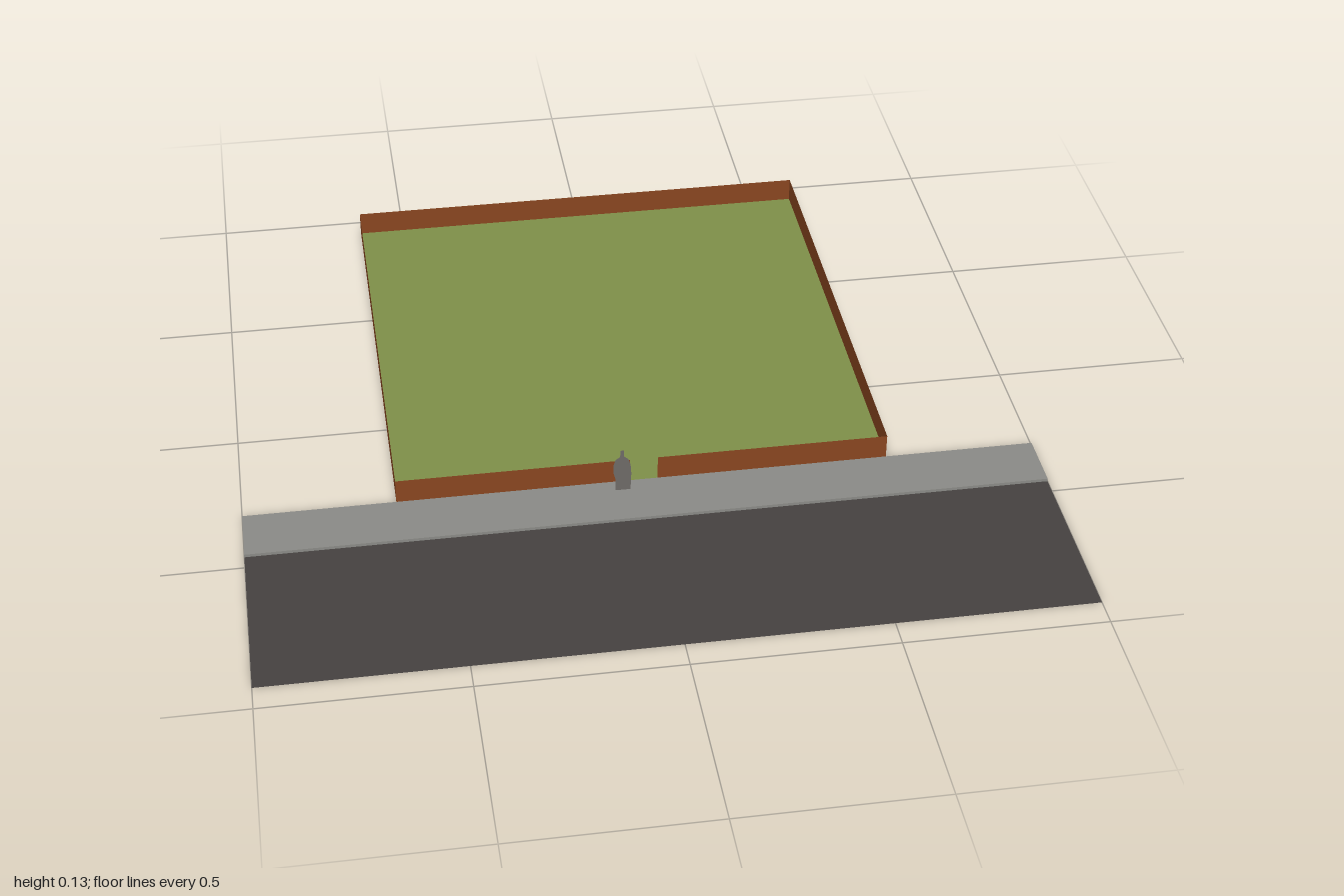
import * as THREE from 'three';

const material = (name, color) =>
  new THREE.MeshStandardMaterial({ name, color, side: THREE.DoubleSide });

export function createModel() {
  const grass = material('grass green', 0x80914a);
  const brick = material('brick brown', 0x8b4720);
  const pavement = material('pavement grey', 0x8c8c88);
  const asphalt = material('asphalt', 0x464241);
  const stone = material('stone grey', 0x6f6b68);

  const group = new THREE.Group();
  const GROUND = 0.008, HALF = 0.62, BACK = -0.93, FRONT = 0.31, CURB = 0.46;

  const add = (name, geometry, mat) => {
    const mesh = new THREE.Mesh(geometry, mat);
    mesh.name = name;
    group.add(mesh);
    return mesh;
  };

  // Flat ground sheet spanning z0..z1
  const sheet = (name, halfWidth, z0, z1, y, mat) => {
    const geometry = new THREE.PlaneGeometry(halfWidth * 2, z1 - z0);
    geometry.rotateX(-Math.PI / 2);
    add(name, geometry, mat).position.set(0, y, (z0 + z1) / 2);
  };
  sheet('lawn', HALF, BACK, FRONT, GROUND, grass);
  sheet('sidewalk', 1, FRONT, CURB, GROUND, pavement);
  sheet('road', 1, CURB, 0.93, 0, asphalt);

  // Upright sheet from (x0, z0) to (x1, z1)
  const upright = (name, x0, z0, x1, z1, bottom, top, mat) => {
    const geometry = new THREE.PlaneGeometry(Math.hypot(x1 - x0, z1 - z0), top - bottom);
    const mesh = add(name, geometry, mat);
    mesh.position.set((x0 + x1) / 2, (bottom + top) / 2, (z0 + z1) / 2);
    mesh.rotation.y = Math.atan2(z0 - z1, x1 - x0);
  };
  upright('curb', -1, CURB, 1, CURB, 0, GROUND, pavement);

  // Garden walls, with an entrance gap in the front
  const WALL_TOP = 0.072, GAP = 0.035;
  upright('backWall', HALF, BACK, -HALF, BACK, GROUND, WALL_TOP, brick);
  for (const [side, s] of [['left', 1], ['right', -1]]) {
    upright(side + 'Wall', s * HALF, s * FRONT + (s < 0 ? FRONT + BACK : 0),
      s * HALF, s > 0 ? BACK : FRONT, GROUND, WALL_TOP, brick);
    const a = s > 0 ? GAP : -HALF, b = s > 0 ? HALF : -GAP;
    upright(side + 'FrontWall', a, FRONT, b, FRONT, GROUND, WALL_TOP, brick);
  }

  // Flat cut-out figure beside the entrance
  const outline = [
    [-0.017, 0], [0.021, 0], [0.023, 0.05], [0.021, 0.078], [0.015, 0.095],
    [0.005, 0.103], [0.004, 0.122], [-0.004, 0.122], [-0.005, 0.103],
    [-0.016, 0.095], [-0.022, 0.078], [-0.022, 0.055], [-0.017, 0.035],
  ].map(([x, y]) => new THREE.Vector2(x, y));
  add('cutoutFigure', new THREE.ShapeGeometry(new THREE.Shape(outline)), stone)
    .position.set(-0.06, GROUND, 0.345);

  return group;
}
